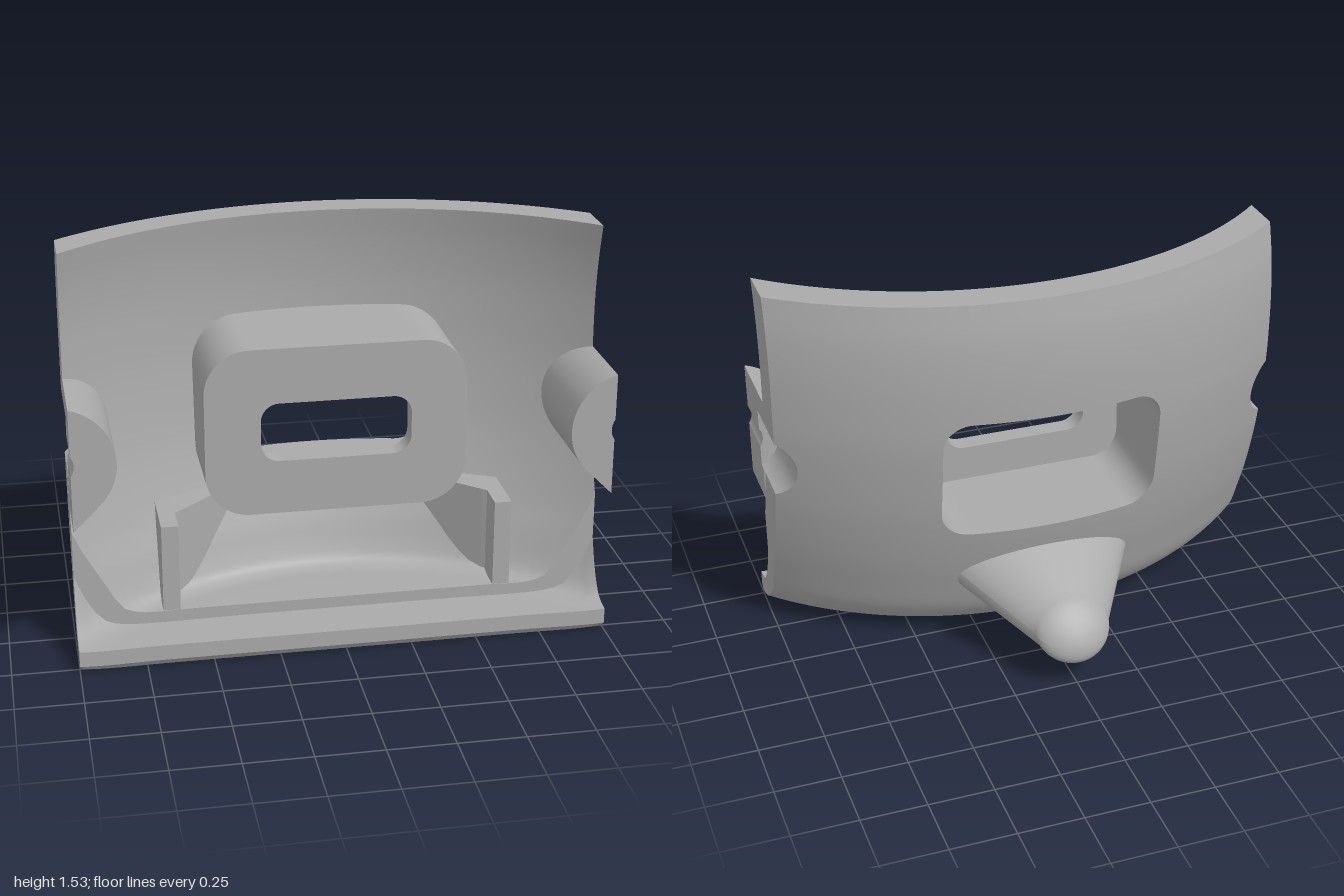
import * as THREE from 'three';

const AXIS = 1.38; // z of the vertical axis the shell is turned about
const RECT = { w: 0.478, h: 0.305, cy: 0.805 }; // patch of shell around the pocket
const grey = new THREE.MeshStandardMaterial({ color: 0xaaaaaa, side: THREE.DoubleSide });
grey.name = 'grey plastic';

const lerp = THREE.MathUtils.lerp;
const space = (a, b, n) => Array.from({ length: n + 1 }, (_, i) => lerp(a, b, i / n));

// Shell profile from [z at x = 0, y] points, searchable by height or by radius
function profile(pts) {
  const curve = new THREE.CatmullRomCurve3(pts.map(([z, y]) => new THREE.Vector3(AXIS - z, y, 0)));
  const p = curve.getPoints(400);
  const find = (key, other, value) => {
    for (let i = p.length - 1; i > 0; i--) {
      const a = p[i][key], b = p[i - 1][key];
      if (value >= Math.min(a, b) && value <= Math.max(a, b) && a !== b)
        return lerp(p[i][other], p[i - 1][other], (value - a) / (b - a));
    }
    return value < p[400][key] ? p[400][other] : p[0][other];
  };
  return { r: y => find('y', 'x', y), y: r => find('x', 'y', r) };
}
const outer = profile([[-0.245, 1.53], [-0.27, 1.4], [-0.283, 1.25], [-0.284, 1.1], [-0.277, 0.95], [-0.244, 0.7],
  [-0.218, 0.57], [-0.174, 0.4], [-0.125, 0.25], [-0.09, 0.15], [-0.063, 0.1], [-0.01, 0.04], [0.045, 0.01],
  [0.1, 0], [0.3, 0], [0.54, 0]]);
const inner = profile([[-0.114, 1.53], [-0.138, 1.4], [-0.153, 1.25], [-0.154, 1.1], [-0.147, 0.95], [-0.115, 0.7],
  [-0.087, 0.57], [-0.038, 0.4], [0, 0.3], [0.035, 0.2], [0.06, 0.15], [0.1, 0.13], [0.2, 0.13], [0.36, 0.13]]);
const lip = profile([[-0.09, 0.4], [-0.063, 0.3], [-0.027, 0.18], [0, 0.125], [0.02, 0.1], [0.068, 0.085],
  [0.3, 0.085], [0.55, 0.085]]);
const zOfR = (x, r) => AXIS - Math.sqrt(Math.max(r * r - x * x, 0));
const zOn = (prof, x, y) => zOfR(x, prof.r(y));

// Surface from a grid of points f(i, j), with optional skipped cells
function grid(nu, nv, f, skip = () => false) {
  const pos = [], index = [], w = nu + 1;
  for (let j = 0; j <= nv; j++) for (let i = 0; i <= nu; i++) pos.push(...f(i, j));
  for (let j = 0; j < nv; j++) for (let i = 0; i < nu; i++) {
    if (skip(i, j)) continue;
    const a = j * w + i;
    index.push(a, a + w, a + 1, a + 1, a + w, a + w + 1);
  }
  const g = new THREE.BufferGeometry();
  g.setAttribute('position', new THREE.Float32BufferAttribute(pos, 3));
  g.setIndex(index);
  g.computeVertexNormals();
  return g;
}
const wall = (pts, zBack, zFront) =>
  grid(pts.length - 1, 1, (i, j) => [...pts[i], j ? zFront : zBack(...pts[i])]);
const toShape = pts => new THREE.Shape(pts.map(p => new THREE.Vector2(...p)));
function plate(pts, z, hole) {
  const s = toShape(pts);
  if (hole) s.holes.push(toShape(hole));
  return new THREE.ShapeGeometry(s).translate(0, 0, z);
}
// Flat face in a plane of constant x, from [z, y] points
const sideFace = (pts, x) =>
  new THREE.ShapeGeometry(toShape(pts.map(([z, y]) => [-z, y]))).rotateY(Math.PI / 2).translate(x, 0, 0);

// Closed rounded rectangle; grow > 0 gives the matching square-cornered outline
function roundRect(w, h, r, cy, grow = 0) {
  const pts = [];
  [[1, 1], [-1, 1], [-1, -1], [1, -1]].forEach(([sx, sy], k) => {
    for (let i = 0; i <= 12; i++) {
      const a = (k + i / 12) * Math.PI / 2, c = Math.cos(a), s = Math.sin(a);
      const d = grow ? (r + grow) / Math.max(Math.abs(c), Math.abs(s)) : r;
      pts.push([sx * (w - r) + c * d, cy + sy * (h - r) + s * d]);
    }
  });
  pts.push(pts[0]);
  const fine = [];
  pts.slice(1).forEach((p, i) => {
    const q = pts[i], n = Math.ceil(Math.hypot(p[0] - q[0], p[1] - q[1]) / 0.04);
    for (let k = 0; k < (i % 13 === 12 ? 16 : 1); k++) {
      const t = i % 13 === 12 ? k / 16 : 0;
      fine.push([lerp(q[0], p[0], t), lerp(q[1], p[1], t)]);
    }
  });
  fine.push(pts[0]);
  return fine;
}
const arc = (r, a0, a1, n = 24) => space(a0, a1, n).map(d => {
  const a = d * Math.PI / 180;
  return [1.058 + r * Math.cos(a), 0.825 + r * Math.sin(a)];
});

export function createModel() {
  const model = new THREE.Group();
  const add = (name, ...geos) => {
    const g = new THREE.Group();
    g.name = name;
    geos.forEach(geo => {
      const m = new THREE.Mesh(geo, grey);
      m.name = name + 'Surface';
      g.add(m);
    });
    model.add(g);
  };

  // Curved shell: columns across x, rows by height and then by radius under the curve
  const us = [...space(-1, -RECT.w, 14), ...space(-RECT.w, RECT.w, 26).slice(1), ...space(RECT.w, 1, 14).slice(1)];
  const ys = [...space(1.53, 1.11, 12), ...space(1.11, 0.5, 48).slice(1)];
  const LOW = 44, NU = us.length - 1, NV = ys.length - 1 + LOW;
  const xAt = (u, y) => {
    const d = 0.133 ** 2 - (y - 0.825) ** 2;
    const edge = d > 0 ? Math.min(1, 1.058 - Math.sqrt(d)) : 1;
    const a = Math.abs(u);
    return a <= RECT.w ? u : Math.sign(u) * (RECT.w + (a - RECT.w) * (edge - RECT.w) / (1 - RECT.w));
  };
  const point = (prof, zEnd, u, j) => {
    if (j < ys.length) {
      const x = xAt(u, ys[j]);
      return [x, ys[j], zOn(prof, x, ys[j])];
    }
    const r = lerp(prof.r(0.5), Math.hypot(u, AXIS - zEnd), (j - ys.length + 1) / LOW);
    return [u, prof.y(r), zOfR(u, r)];
  };
  const lipPoint = (u, t) => {
    const r = lerp(Math.hypot(u, AXIS - 0.34), Math.hypot(u, AXIS - 0.53), t);
    return [u, lip.y(r), zOfR(u, r)];
  };
  const inRect = (i, j) => i >= 14 && i < 40 && j >= 12 && j < ys.length - 1;
  const skin = (prof, zEnd) => grid(NU, NV, (i, j) => point(prof, zEnd, us[i], j), inRect);
  const opening = roundRect(0.43, 0.257, 0.11, RECT.cy);
  const frame = roundRect(0.43, 0.257, 0.11, RECT.cy, 0.048);
  const ring = prof => grid(opening.length - 1, 4, (i, j) => {
    const x = lerp(opening[i][0], frame[i][0], j / 4), y = lerp(opening[i][1], frame[i][1], j / 4);
    return [x, y, zOn(prof, x, y)];
  });
  add('outerShell', skin(outer, 0.51), ring(outer));
  add('innerShell', skin(inner, 0.34), ring(inner));
  add('frontLip',
    grid(NU, 24, (i, j) => lipPoint(us[i], j / 24)),
    grid(NU, 1, (i, j) => j ? lipPoint(us[i], 0) : point(inner, 0.34, us[i], NV)),
    grid(NU, 1, (i, j) => j ? lipPoint(us[i], 1) : [us[i], lipPoint(us[i], 1)[1] - 0.06, 0.53]),
    grid(NU, 1, (i, j) => j ? point(outer, 0.51, us[i], NV) : [us[i], lipPoint(us[i], 1)[1] - 0.06, 0.53]));
  add('topEdge', grid(NU, 1, (i, j) => point(j ? inner : outer, 0.34, us[i], 0)));

  // Cut side faces and half-round screw bosses, mirrored
  const bossOutline = [...arc(0.2226, 105, 225), [1, 0.568]];
  const bore = arc(0.133, 244, 116), pin = arc(0.07, 214, 146, 12);
  for (const s of [1, -1]) {
    const flip = pts => pts.map(([x, y]) => [s * x, y]);
    const zy = p => [p[2], p[1]];
    const upper = space(1.53, 0.945, 20), rows = [];
    for (let j = 0; j <= NV; j++) if (j >= ys.length || ys[j] < 0.705) rows.push(j);
    const lower = [[zOn(outer, 1, 0.705), 0.705], ...rows.map(j => zy(point(outer, 0.51, 1, j))),
      [0.53, 0.025], ...space(1, 0, 20).map(t => zy(lipPoint(1, t))),
      ...rows.slice().reverse().map(j => zy(point(inner, 0.34, 1, j))), [zOn(inner, 1, 0.705), 0.705]];
    const box = (z0, z1, y0, y1) => sideFace([[z0, y0], [z1, y0], [z1, y1], [z0, y1]], s);
    add('sideEdge',
      sideFace([...upper.map(y => [zOn(outer, 1, y), y]), ...upper.reverse().map(y => [zOn(inner, 1, y), y])], s),
      sideFace(lower, s));
    add('screwBoss',
      wall(flip(bossOutline), (x, y) => zOn(inner, x, y) - 0.03, 0.53),
      plate(flip([...bossOutline, ...pin]), 0.53),
      wall(flip(bore), (x, y) => zOn(outer, x, y), 0.33),
      plate(flip([...bore, ...pin.slice().reverse()]), 0.33),
      wall(flip(pin), () => 0.33, 0.53),
      box(0.2, 0.53, 0.945, 1.04), box(0.3, 0.53, 0.568, 0.705),
      box(0.33, 0.53, 0.705, 0.786), box(0.33, 0.53, 0.864, 0.945));

    // Angled rib standing on the floor, its back tucked into the shell
    const plan = [[0.67, 0.34], [0.605, 0.34], [0.605, 0.22],
      ...space(0.59, 0.36, 12).map(x => [x, 0.208 - (0.59 - x) * 0.9]),
      ...space(0.36, 0.67, 8).map(x => [x, zOn(inner, x, 0.475) - 0.03])];
    const rib = new THREE.ExtrudeGeometry(toShape(plan.map(([x, z]) => [s * x, -z])),
      { depth: 0.345, steps: 12, bevelEnabled: false }).rotateX(-Math.PI / 2).translate(0, 0.13, 0);
    const p = rib.attributes.position;
    for (let i = 0; i < p.count; i++)
      p.setZ(i, Math.max(p.getZ(i), zOn(inner, p.getX(i), Math.max(p.getY(i), 0.15)) - 0.03));
    rib.computeVertexNormals();
    add('supportRib', rib);
  }

  // Pocket: rounded box inside, open at the back, with a slot through its front plate
  const boxOutline = roundRect(0.495, 0.328, 0.17, 0.807);
  const slot = roundRect(0.285, 0.115, 0.07, 0.805);
  add('pocketBox',
    wall(boxOutline, (x, y) => zOn(inner, x, y) - 0.04, 0.295),
    wall(opening, (x, y) => zOn(outer, x, y), 0.22),
    plate(boxOutline.slice(0, -1), 0.295, slot.slice(0, -1)),
    plate(opening.slice(0, -1), 0.22, slot.slice(0, -1)),
    wall(slot, () => 0.22, 0.295));

  // Tapered oval peg at the back with a rounded tip
  const pegPoint = (a, s, k) => {
    const t = Math.max(s, 0), w = (0.15 + 0.575 * t) * k, h = (0.12 + 0.216 * t) * k;
    const v = h * Math.sin(a);
    return [w * Math.cos(a), 0.222 + 0.334 * s + 0.943 * v, -0.43 + 0.943 * s + 0.334 * v];
  };
  add('peg', grid(48, 20, (i, j) => {
    const a = i / 48 * Math.PI * 2;
    if (j <= 10) {
      const f = (1 - j / 10) * Math.PI / 2;
      return pegPoint(a, -0.11 * Math.sin(f), Math.cos(f));
    }
    let end = 0.05;
    for (; end < 0.5; end += 0.005) {
      const [x, y, z] = pegPoint(a, end, 1);
      if (z > zOn(outer, x, y) + 0.03) break;
    }
    return pegPoint(a, end * (j - 10) / 10, 1);
  }));
  return model;
}
